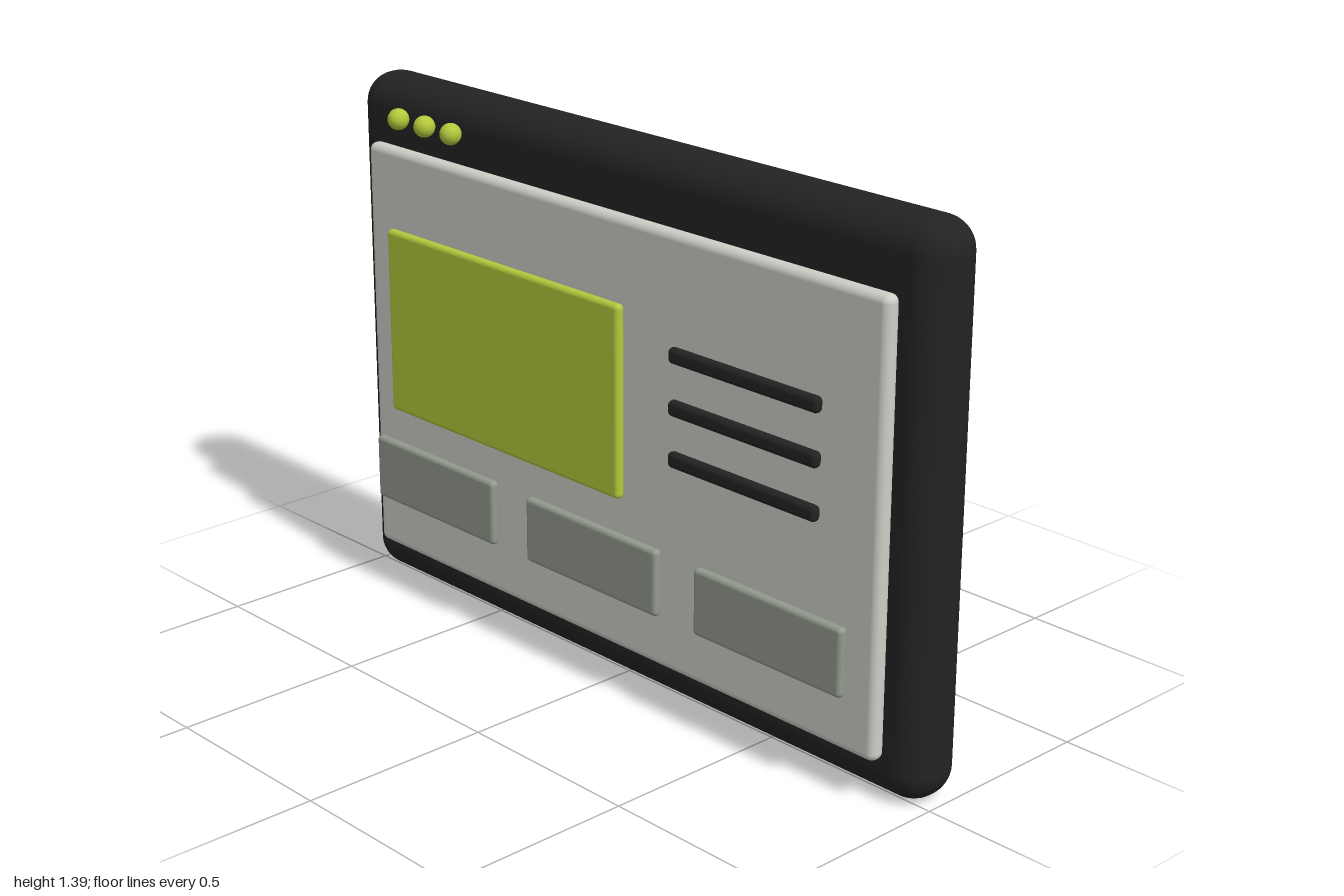
import * as THREE from 'three';
import { RoundedBoxGeometry } from 'three/addons/geometries/RoundedBoxGeometry.js';

const material = (name, color) => {
  const m = new THREE.MeshStandardMaterial({ color });
  m.name = name;
  return m;
};

export function createModel() {
  const charcoal = material('charcoal', 0x232323);
  const paleGrey = material('pale grey', 0xcdcec6);
  const lime = material('lime', 0xb4c83c);
  const midGrey = material('mid grey', 0x939a8d);

  const model = new THREE.Group();
  model.name = 'browserWindow';

  // Rounded slab given by its extents on each axis
  const slab = (name, [x0, x1], [y0, y1], [z0, z1], radius, mat) => {
    const geo = new RoundedBoxGeometry(x1 - x0, y1 - y0, z1 - z0, 5, radius);
    const mesh = new THREE.Mesh(geo, mat);
    mesh.name = name;
    mesh.position.set((x0 + x1) / 2, (y0 + y1) / 2, (z0 + z1) / 2);
    model.add(mesh);
  };

  // Body and the page laid on its front
  slab('frame', [-1, 1], [0, 1.386], [-0.124, 0.047], 0.08, charcoal);
  slab('page', [-0.9, 0.9], [0.11, 1.222], [0.043, 0.088], 0.02, paleGrey);

  // Large picture card
  slab('pictureCard', [-0.793, 0.084], [0.522, 1.016], [0.092, 0.119], 0.012, lime);

  // Text bars beside the card
  [0.936, 0.806, 0.677].forEach((y, i) =>
    slab(`textBar${i + 1}`, [0.252, 0.728], [y - 0.02, y + 0.02], [0.092, 0.119], 0.0125, charcoal));

  // Row of tiles along the bottom
  [-0.618, -0.015, 0.588].forEach((x, i) =>
    slab(`tile${i + 1}`, [x - 0.238, x + 0.238], [0.259, 0.433], [0.099, 0.125], 0.012, midGrey));

  // Round window buttons in the title strip
  const ball = new THREE.SphereGeometry(0.028, 20, 14);
  [-0.785, -0.68, -0.576].forEach((x, i) => {
    const mesh = new THREE.Mesh(ball, lime);
    mesh.name = `windowButton${i + 1}`;
    mesh.position.set(x, 1.3, 0.074);
    model.add(mesh);
  });

  return model;
}
